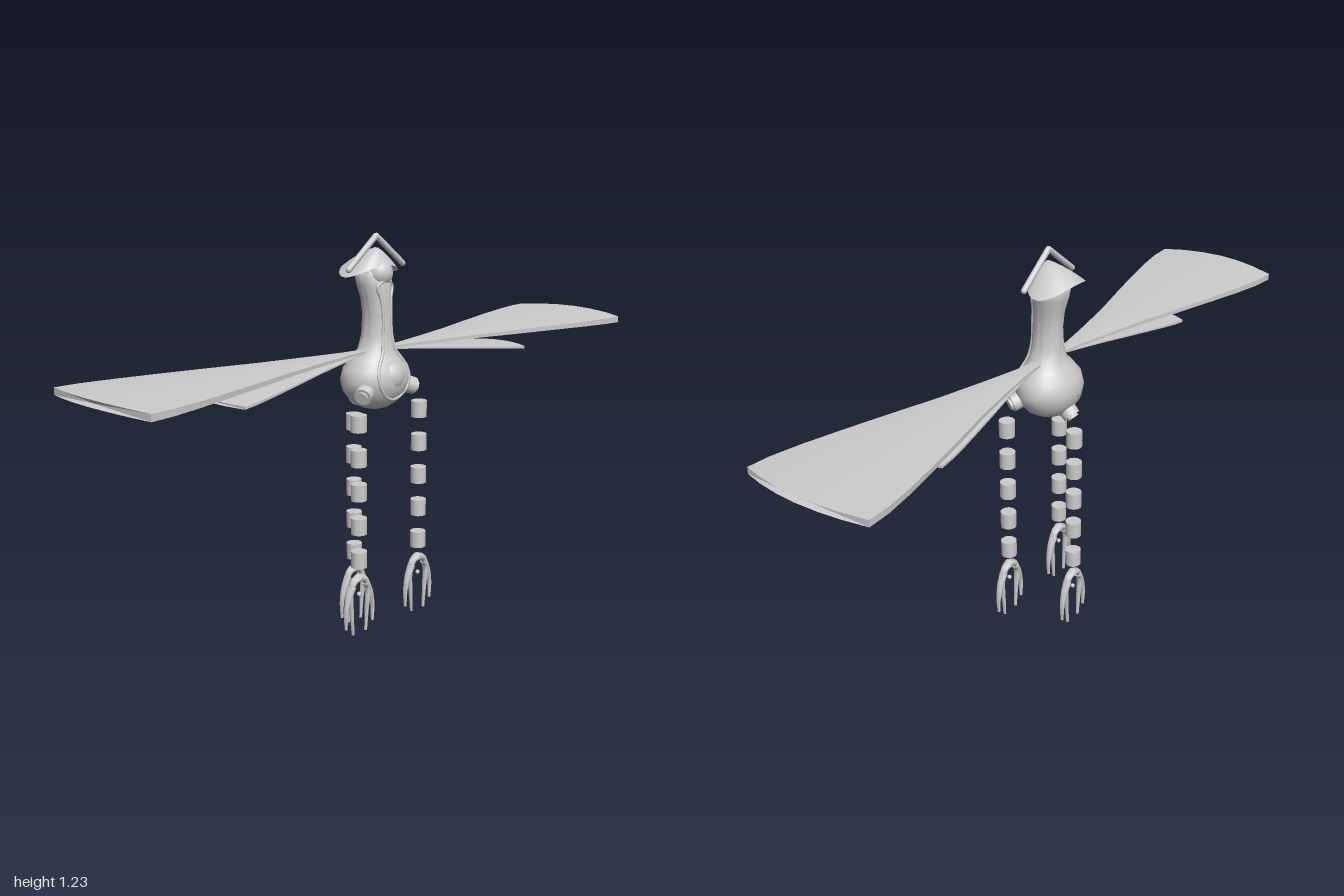
import * as THREE from 'three';
import { mergeVertices, toCreasedNormals } from 'three/addons/utils/BufferGeometryUtils.js';

const material = new THREE.MeshStandardMaterial({ color: 0xcccccc, side: THREE.DoubleSide });
const V = (x, y, z) => new THREE.Vector3(x, y, z);

function add(parent, name, geometry, x = 0, y = 0, z = 0) {
  const mesh = new THREE.Mesh(geometry, material);
  mesh.name = name;
  mesh.position.set(x, y, z);
  parent.add(mesh);
  return mesh;
}

// Skin a row of closed rings and cap both ends
function loft(rings, crease = 0.9) {
  const n = rings[0].length, pos = [], index = [];
  rings.forEach(r => r.forEach(p => pos.push(p.x, p.y, p.z)));
  for (let j = 0; j < rings.length - 1; j++) {
    for (let i = 0; i < n; i++) {
      const a = j * n + i, b = j * n + (i + 1) % n;
      index.push(a, b, b + n, a, b + n, a + n);
    }
  }
  [0, rings.length - 1].forEach((j, end) => {
    const c = rings[j].reduce((s, p) => s.add(p), V(0, 0, 0)).divideScalar(n);
    const ci = pos.length / 3;
    pos.push(c.x, c.y, c.z);
    for (let i = 0; i < n; i++) {
      const a = j * n + i, b = j * n + (i + 1) % n;
      if (end) index.push(ci, a, b); else index.push(ci, b, a);
    }
  });
  const g = new THREE.BufferGeometry();
  g.setAttribute('position', new THREE.Float32BufferAttribute(pos, 3));
  g.setIndex(index);
  return toCreasedNormals(mergeVertices(g), crease);
}

const ringOf = (n, fn) => Array.from({ length: n }, (_, i) => fn(i / n * Math.PI * 2));

// Bulb and neck sections: height, half width, centre z, half depth
const sections = [
  [0.716, 0.012, -0.005, 0.012], [0.725, 0.045, -0.005, 0.04], [0.745, 0.078, -0.005, 0.068],
  [0.775, 0.104, -0.004, 0.089], [0.81, 0.115, -0.003, 0.095], [0.845, 0.106, -0.002, 0.088],
  [0.875, 0.082, 0, 0.068], [0.9, 0.058, 0.002, 0.054], [0.94, 0.042, 0.002, 0.049],
  [1.0, 0.037, 0.002, 0.047], [1.05, 0.042, -0.002, 0.048], [1.09, 0.052, -0.008, 0.053],
  [1.125, 0.058, -0.014, 0.052], [1.15, 0.04, -0.012, 0.035]];

function sectionAt(y) {
  let i = 0;
  while (i < sections.length - 2 && sections[i + 1][0] < y) i++;
  const a = sections[i], b = sections[i + 1], t = (y - a[0]) / (b[0] - a[0]);
  return a.map((v, k) => v + (b[k] - v) * t);
}

function frontSurface(x, y) {
  const [, rx, zc, rz] = sectionAt(y);
  return V(x, y, zc + rz * Math.sqrt(Math.max(0, 1 - (x / rx) ** 2)));
}

// Cambered fan blade running along +x
function wing(stations, yAt, thickness, camber, tipBow) {
  const rings = stations.map(([x, w], k) => {
    const f = k / (stations.length - 1), t = thickness * (0.3 + 0.7 * f) / 2;
    const row = [-1, -0.67, -0.33, 0, 0.33, 0.67, 1].map(u =>
      V(x - tipBow * u * u * f * f, yAt(x) - camber * f * u * u, w * u));
    return [...row.map(p => V(p.x, p.y + t, p.z)), ...row.reverse().map(p => V(p.x, p.y - t, p.z))];
  });
  return loft(rings, 0.6);
}

// Tapered claw along a curve in the xy plane
function claw(points, r0, r1) {
  const curve = new THREE.CatmullRomCurve3(points.map(([x, y]) => V(x, y, 0)));
  const rings = [];
  for (let k = 0; k <= 16; k++) {
    const p = curve.getPoint(k / 16), d = curve.getTangent(k / 16), r = r0 + (r1 - r0) * k / 16;
    rings.push(ringOf(10, a => V(p.x - d.y * Math.cos(a) * r, p.y + d.x * Math.cos(a) * r, Math.sin(a) * r * 1.25)));
  }
  return loft(rings);
}

// Floating leg segments with a forked foot
function leg(name, x, top, z) {
  const g = new THREE.Group();
  g.name = name;
  g.position.set(x, top, z);
  for (let i = 0; i < 5; i++) {
    add(g, 'legSegment', new THREE.CylinderGeometry(0.024, 0.024, 0.05, 20), 0, -0.025 - i * 0.104, 0);
  }
  const foot = new THREE.Group();
  foot.name = 'foot';
  foot.position.y = -0.487;
  g.add(foot);
  for (const s of [-1, 1]) {
    add(foot, 'innerClaw', claw([[-s * 0.004, -0.012], [s * 0.022, -0.022], [s * 0.036, -0.06],
      [s * 0.032, -0.12], [s * 0.027, -0.189]], 0.012, 0.004));
    add(foot, 'outerClaw', claw([[s * 0.028, -0.035], [s * 0.046, -0.07], [s * 0.056, -0.115],
      [s * 0.056, -0.165]], 0.011, 0.004));
  }
  add(foot, 'footBead', new THREE.SphereGeometry(0.007, 12, 8), 0, -0.066, 0);
  return g;
}

// Stubby leg socket with a smaller inner plug
function socket(name, at, dir) {
  const g = new THREE.Group();
  g.name = name;
  g.position.copy(at);
  g.quaternion.setFromUnitVectors(V(0, 1, 0), dir.normalize());
  add(g, 'socketCollar', new THREE.CylinderGeometry(0.026, 0.028, 0.045, 16));
  add(g, 'socketPlug', new THREE.CylinderGeometry(0.018, 0.018, 0.01, 16), 0, 0.025, 0);
  return g;
}

export function createModel() {
  const model = new THREE.Group();
  model.name = 'wingedCreature';

  // Body and neck
  add(model, 'body', loft(sections.map(([y, rx, zc, rz]) =>
    ringOf(40, a => V(rx * Math.cos(a), y, zc - rz * Math.sin(a)))), 1.2));

  // Keyhole rim from belly to face
  const half = [[0.765, 0.03], [0.79, 0.054], [0.825, 0.064], [0.86, 0.052], [0.89, 0.03],
    [0.94, 0.019], [1.0, 0.016], [1.05, 0.02], [1.085, 0.03]];
  const rim = [frontSurface(0, 0.755), ...half.map(([y, x]) => frontSurface(x, y)),
    frontSurface(0, 1.105), ...half.map(([y, x]) => frontSurface(-x, y)).reverse()];
  add(model, 'keyholeRim', new THREE.TubeGeometry(new THREE.CatmullRomCurve3(rim, true), 100, 0.005, 8, true));
  add(model, 'bellyOrb', new THREE.SphereGeometry(0.053, 32, 20), 0, 0.822, 0.043);
  add(model, 'eye', new THREE.SphereGeometry(0.042, 32, 20), 0, 1.122, 0.01);

  // Pointed hood, lowest at its sides
  const apex = V(0, 1.197, 0.002);
  add(model, 'hood', loft([1, 0.8, 0.6, 0.4, 0.2, 0.06].map(f => ringOf(40, a => {
    const c = Math.cos(a);
    const p = V(0.1 * c, 1.146 - 0.031 * c * c, -0.03 - 0.07 * Math.sin(a)).lerp(apex, 1 - f);
    p.y += 0.025 * f * (1 - f);
    return p;
  }))));

  // Chevron antenna
  const antenna = new THREE.Group();
  antenna.name = 'antenna';
  model.add(antenna);
  for (const s of [-1, 1]) {
    const rod = add(antenna, 'antennaRod', new THREE.CapsuleGeometry(0.009, 0.142, 6, 12), s * 0.057, 1.184, 0);
    rod.rotation.z = s * Math.atan2(0.114, 0.09);
  }

  // Two pairs of wings
  const large = [[0.03, 0.012], [0.12, 0.021], [0.25, 0.047], [0.4, 0.08], [0.55, 0.12],
    [0.7, 0.157], [0.82, 0.184], [0.92, 0.201], [1, 0.205]];
  const small = large.map(([x, w]) => [x * 0.61, w * 0.48]);
  for (const s of [1, -1]) {
    const pair = new THREE.Group();
    pair.name = s > 0 ? 'leftWings' : 'rightWings';
    pair.rotation.y = s > 0 ? 0 : Math.PI;
    add(pair, 'largeWing', wing(large, x => 0.896 + 0.006 * x, 0.02, 0.009, 0.036));
    add(pair, 'smallWing', wing(small, x => 0.897 - 0.098 * x, 0.008, 0.003, 0.02));
    model.add(pair);
  }

  // Sockets and legs
  for (const s of [1, -1]) {
    const side = s > 0 ? 'left' : 'right';
    model.add(socket(side + 'Socket', V(s * 0.092, 0.783, 0.043), V(s * 0.8, -0.3, 0.4)));
    model.add(leg(side + 'Leg', s * 0.13, 0.728, 0.055));
  }
  model.add(socket('backSocket', V(0, 0.748, -0.07), V(0, -0.7, -0.7)));
  model.add(leg('backLeg', 0, 0.685, -0.095));

  return model;
}
